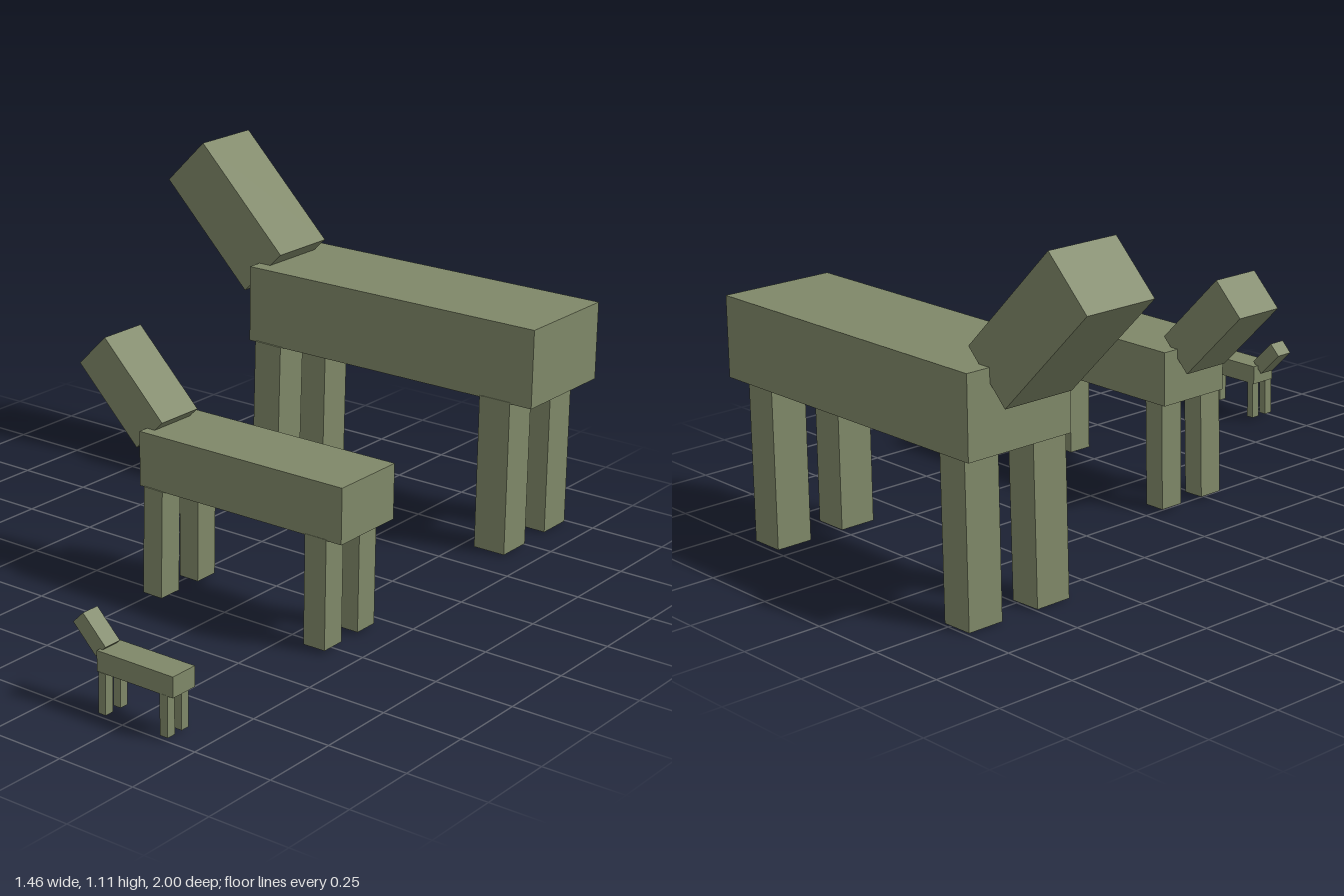
import * as THREE from 'three';

const material = new THREE.MeshStandardMaterial({ color: 0x7f8868, flatShading: true });

function block(name, size, position, tilt = 0) {
  const mesh = new THREE.Mesh(new THREE.BoxGeometry(...size), material);
  mesh.name = name;
  mesh.position.set(...position);
  mesh.rotation.z = tilt;
  return mesh;
}

// One block animal facing -x; its origin is on the ground under the body centre.
function createAnimal(name) {
  const animal = new THREE.Group();
  animal.name = name;
  animal.add(
    block('body', [1.08, 0.25, 0.37], [0, 0.625, 0]),
    block('neckAndHead', [0.455, 0.205, 0.24], [-0.688, 0.88, 0.015], -Math.PI / 4),
    // The front legs lean very slightly
    block('frontLegLeft', [0.103, 0.5, 0.12], [-0.465, 0.253, 0.131], -0.018),
    block('frontLegRight', [0.103, 0.5, 0.12], [-0.463, 0.253, -0.115], -0.01),
    block('backLegLeft', [0.11, 0.5, 0.12], [0.41, 0.255, 0.127]),
    block('backLegRight', [0.11, 0.5, 0.12], [0.407, 0.255, -0.112])
  );
  return animal;
}

export function createModel() {
  const model = new THREE.Group();
  model.name = 'animalFamily';

  // Same animal at three sizes: name, scale, position
  const family = [
    ['largeAnimal', 1, [0.19, 0, -0.815]],
    ['mediumAnimal', 0.68, [0.337, 0.009, 0.174]],
    ['smallAnimal', 0.245, [0.543, 0.011, 0.953]],
  ];
  for (const [name, scale, position] of family) {
    const animal = createAnimal(name);
    animal.scale.setScalar(scale);
    animal.position.set(...position);
    model.add(animal);
  }
  return model;
}
